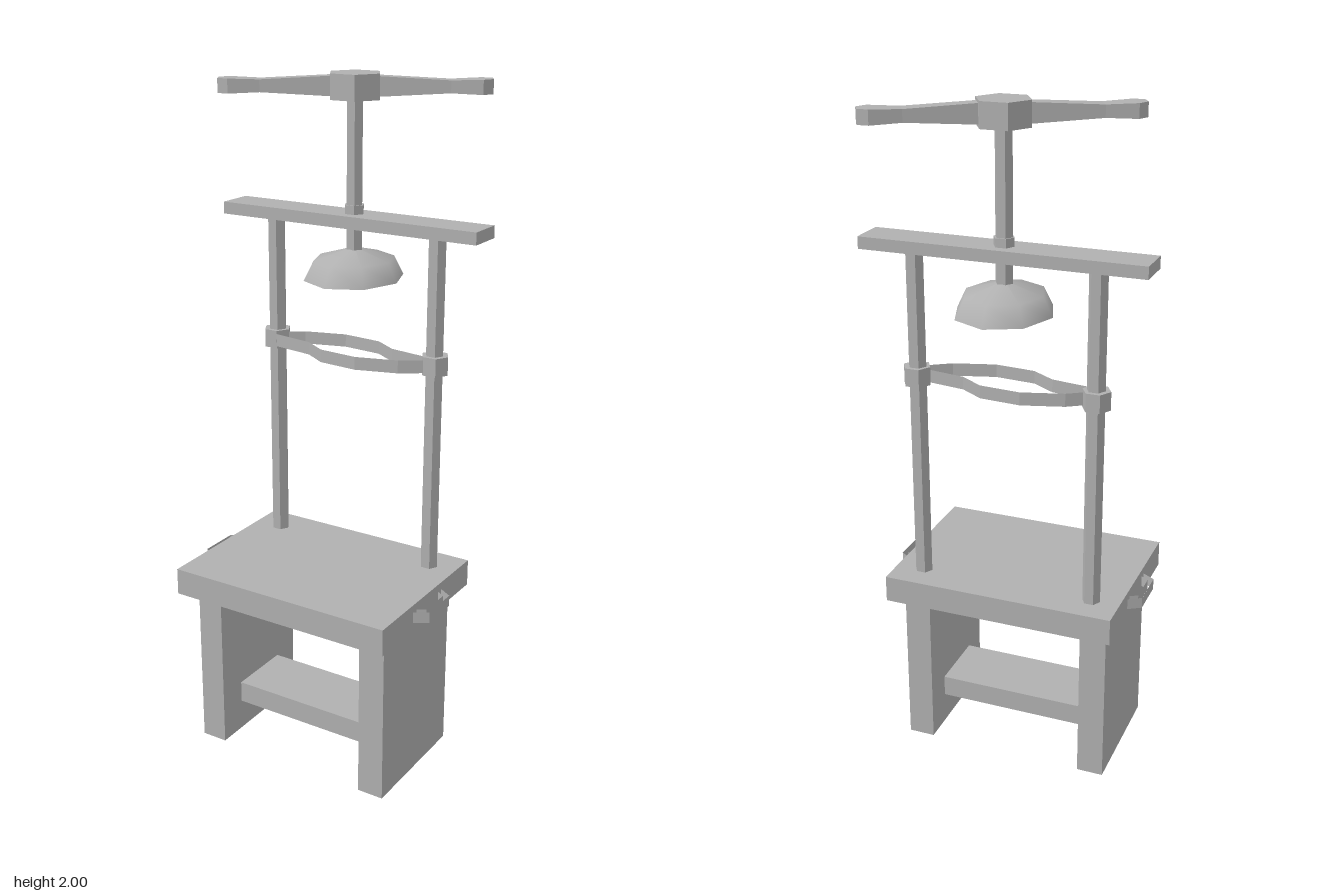
import * as THREE from 'three';

const CX = 0.003; // middle of the posts and screw across
const CZ = -0.11; // depth of the posts and screw

export function createModel() {
  const model = new THREE.Group();
  const grey = new THREE.MeshStandardMaterial({ color: 0xb0b0b0, side: THREE.DoubleSide });
  grey.name = 'grey';

  const add = (name, geometry, x = 0, y = 0, z = 0) => {
    const mesh = new THREE.Mesh(geometry, grey);
    mesh.name = name;
    mesh.position.set(x, y, z);
    model.add(mesh);
    return mesh;
  };
  const box = (name, x0, x1, y0, y1, z0, z1) =>
    add(name, new THREE.BoxGeometry(x1 - x0, y1 - y0, z1 - z0),
      (x0 + x1) / 2, (y0 + y1) / 2, (z0 + z1) / 2);
  const flat = (geometry) => {
    const g = geometry.toNonIndexed();
    g.computeVertexNormals();
    return g;
  };
  // Hexagonal prism with corners pointing along x
  const hex = (name, r, y0, y1, x = CX) =>
    add(name, flat(new THREE.CylinderGeometry(r, r, y1 - y0, 6, 1, false, Math.PI / 6)),
      x, (y0 + y1) / 2, CZ);
  // Upright strip of given height following [x, z] points
  const ribbon = (path, height) => {
    const n = path.length - 1;
    const g = new THREE.PlaneGeometry(1, height, n, 1);
    const p = g.attributes.position;
    for (let i = 0; i < p.count; i++) {
      const [x, z] = path[i % (n + 1)];
      p.setXYZ(i, x, p.getY(i), z);
    }
    return flat(g);
  };
  // Bar along x through rectangular sections [x, centre z, half depth, half height]
  const bar = (sections) => {
    const n = sections.length - 1;
    const g = new THREE.BoxGeometry(1, 1, 1, n, 1, 1);
    const p = g.attributes.position;
    for (let i = 0; i < p.count; i++) {
      const [x, zc, hz, hy] = sections[Math.round((p.getX(i) + 0.5) * n)];
      p.setXYZ(i, x, Math.sign(p.getY(i)) * hy, zc + Math.sign(p.getZ(i)) * hz);
    }
    return flat(g);
  };

  // Table
  box('tableTop', -0.349, 0.354, 0.507, 0.587, -0.2, 0.311);
  box('stretcher', -0.237, 0.245, 0.096, 0.162, -0.04, 0.16);
  for (const s of [-1, 1]) {
    // Slab leg, open underneath
    const x = s * 0.281 + CX;
    const leg = box('leg', x - 0.04, x + 0.04, 0, 0.507, -0.133, 0.25);
    const idx = Array.from(leg.geometry.index.array);
    idx.splice(18, 6);
    leg.geometry.setIndex(idx);
    leg.geometry.clearGroups();

    // Side handle: bracket walls, open above and below
    const outer = [[0.35, 0.14], [0.39, 0.115], [0.39, -0.005], [0.35, -0.03]];
    const inner = [[0.35, -0.01], [0.375, 0.005], [0.375, 0.105], [0.35, 0.12]];
    for (const path of [outer, inner]) {
      const points = path.map(([px, pz]) => [s * px, pz]);
      if (s > 0) add('sideHandle', ribbon(points, 0.033), CX, 0.548);
      else add('sideHandle', ribbon(points.reverse(), 0.033), CX, 0.548);
    }

    // Upright post and the collar sliding on it
    hex('post', 0.027, 0.587, 1.58, s * 0.266 + CX);
    hex('collar', 0.041, 1.187, 1.241, s * 0.268 + CX);
  }

  // Two bowed yoke strips, one turned half round from the other
  const yoke = [[-0.25, 0.015], [-0.12, 0.035], [-0.05, 0.08], [0.07, 0.09], [0.19, 0.055], [0.25, 0.015]];
  for (const turn of [0, Math.PI]) {
    add('yokeStrip', ribbon(yoke, 0.038), CX, 1.213, -0.09).rotation.y = turn;
  }

  // Crossbar and screw
  box('crossbar', -0.412, 0.412, 1.58, 1.615, -0.165, -0.055);
  hex('screw', 0.025, 1.48, 1.94);
  hex('screwCollar', 0.03, 1.615, 1.64);

  // Eight-sided pressing cup with a hollow underside
  const lathe = (pts) => new THREE.LatheGeometry(pts.map(([r, y]) => new THREE.Vector2(r, y)), 8);
  const cup = new THREE.Group();
  cup.name = 'pressingCup';
  const parts = {
    cupOutside: [[0.16, 1.43], [0.129, 1.486], [0, 1.52]],
    cupUnderside: [[0, 1.485], [0.16, 1.43]],
  };
  for (const [name, pts] of Object.entries(parts)) cup.add(add(name, lathe(pts)));
  cup.position.set(CX, 0, CZ);
  cup.scale.x = 0.87;
  model.add(cup);

  // Turning handle: hub with two paddle arms
  hex('hub', 0.078, 1.93, 2);
  const arm = [[0.05, 0.004, 0.023, 0.028], [0.26, 0.005, 0.026, 0.017],
    [0.346, 0.005, 0.037, 0.02], [0.375, 0.002, 0.018, 0.02]];
  for (const turn of [0, Math.PI]) {
    add('turningArm', bar(arm), CX, 1.965, CZ).rotation.y = Math.PI / 6 + turn;
  }
  return model;
}
